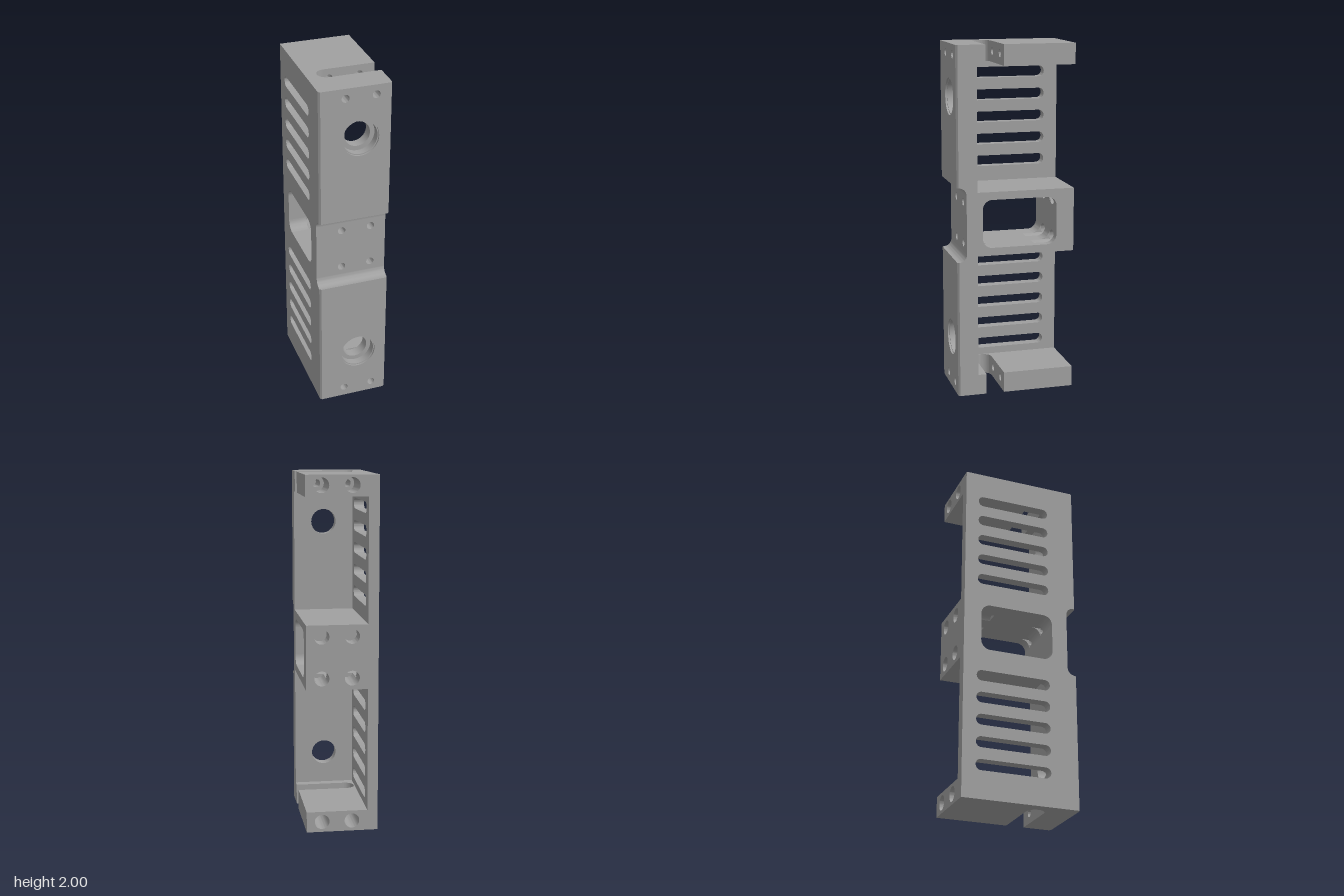
import * as THREE from 'three';
import { toCreasedNormals } from 'three/addons/utils/BufferGeometryUtils.js';

const metal = new THREE.MeshStandardMaterial({ color: 0xa0a0a0 });
metal.name = 'grey metal';

const W = 0.2025, D = 0.34;          // half width, half depth
const WALL = -0.143;                 // inner face of the side wall
const FRONT = 0.223, RECESS = 0.285; // inner face of front wall, floor of front recess
const SCREW_X = [-0.055, 0.115];
const SMALL = 0.022, BORE = 0.042, BORE_END = -0.12;
const MID = 1.0025;                  // height of the middle block's centre

const rectShape = (x0, x1, y0, y1) => new THREE.Shape([
  new THREE.Vector2(x0, y0), new THREE.Vector2(x1, y0),
  new THREE.Vector2(x1, y1), new THREE.Vector2(x0, y1)]);

const circle = (x, y, r) => new THREE.Path().absarc(x, y, r, 0, Math.PI * 2, true);

const extrude = (shape, depth) =>
  new THREE.ExtrudeGeometry(shape, { depth, bevelEnabled: false, curveSegments: 20 });

// Extrusions along each axis; shapes for x use (-z, y), shapes for y use (x, -z)
const alongZ = (shape, z0, z1) => extrude(shape, z1 - z0).translate(0, 0, z0);
const alongX = (shape, x0, x1) => extrude(shape, x1 - x0).rotateY(Math.PI / 2).translate(x0, 0, 0);
const alongY = (shape, y0, y1) => extrude(shape, y1 - y0).rotateX(-Math.PI / 2).translate(0, y0, 0);

// Full-width block with round holes [x, y, r] running along z
function drilled(y0, y1, z0, z1, holes) {
  const s = rectShape(-W, W, y0, y1);
  holes.forEach(h => s.holes.push(circle(...h)));
  return alongZ(s, z0, z1);
}

const screws = (ys, r) => ys.flatMap(y => SCREW_X.map(x => [x, y, r]));

// Concave corner filler running along x
function fillet(z, y, sz, sy, r, x0, x1) {
  const pts = [new THREE.Vector2(-z, y)];
  for (let i = 0; i <= 10; i++) {
    const t = i / 10 * Math.PI / 2;
    pts.push(new THREE.Vector2(-(z + sz * r * (1 - Math.sin(t))), y + sy * r * (1 - Math.cos(t))));
  }
  return alongX(new THREE.Shape(pts), x0, x1);
}

// Narrow the front edge of a plate at both sides
function chamferFront(geo) {
  const p = geo.attributes.position;
  for (let i = 0; i < p.count; i++) {
    if (p.getZ(i) > D - 0.001 && Math.abs(p.getX(i)) > W - 0.001) {
      p.setX(i, Math.sign(p.getX(i)) * (W - 0.01));
    }
  }
  return geo;
}

export function createModel() {
  const model = new THREE.Group();
  const body = new THREE.Group();
  body.name = 'bracket';
  body.rotation.y = -0.089;
  model.add(body);
  const add = (name, ...geos) => {
    const part = new THREE.Group();
    part.name = name;
    geos.forEach(g => {
      const mesh = new THREE.Mesh(toCreasedNormals(g, 0.5), metal);
      mesh.name = name + 'Piece';
      part.add(mesh);
    });
    body.add(part);
  };

  // Upper and lower ends: front plate, end shelf, slotted side wall
  const ends = [
    { n: 'lower', y0: 0, y1: 0.79, in0: 0, in1: 0.82, hole: 0.305, screw: 0.059, s0: 0, s1: 0.118, w0: 0.118, w1: 0.82, slot: 0.19 },
    { n: 'upper', y0: 1.215, y1: 2, in0: 1.185, in1: 2, hole: 1.705, screw: 1.944, s0: 1.882, s1: 2, w0: 1.185, w1: 1.882, slot: 1.302 },
  ];
  for (const e of ends) {
    const small = screws([e.screw], SMALL);
    add(e.n + 'FrontPlate',
      drilled(e.in0, e.in1, FRONT, RECESS, [...small, [0.03, e.hole, 0.072]]),
      drilled(e.y0, e.y1, RECESS, D - 0.01, [...small, [0.03, e.hole, 0.098]]),
      chamferFront(drilled(e.y0, e.y1, D - 0.01, D, [...small, [0.03, e.hole, 0.104]])));

    // Shelf: drilled back, round-ended slot opening to the left, front strip
    const slotEnd = new THREE.Shape();
    slotEnd.moveTo(-W, -0.175);
    slotEnd.lineTo(-0.087, -0.175);
    slotEnd.absarc(-0.087, -0.123, 0.052, -Math.PI / 2, -Math.PI * 1.5, true);
    slotEnd.lineTo(-W, -0.071);
    add(e.n + 'Shelf',
      drilled(e.s0, e.s1, -D, BORE_END, screws([e.screw], BORE)),
      drilled(e.s0, e.s1, BORE_END, 0.071, small),
      alongY(slotEnd, e.s0, e.s1),
      drilled(e.s0, e.s1, 0.175, FRONT, small));

    // Side wall with five ventilation slots
    const wall = rectShape(-FRONT, D, e.w0, e.w1);
    for (let i = 0; i < 5; i++) {
      const y = e.slot + i * 0.1285, r = 0.031;
      const slot = new THREE.Path();
      slot.absarc(-0.173 + r, y, r, Math.PI * 1.5, Math.PI / 2, true);
      slot.absarc(0.262 - r, y, r, Math.PI / 2, -Math.PI / 2, true);
      slot.closePath();
      wall.holes.push(slot);
    }
    add(e.n + 'SideWall', alongX(wall, -W, WALL));
  }

  // Middle block: front and back walls around a cross tunnel
  const midY = [MID - 0.1175, MID + 0.1175];
  const y0 = 0.82, y1 = 1.185, z0 = -0.238, z1 = 0.193, half = 0.1375;
  add('middleFrontWall', drilled(y0, y1, z1, RECESS, screws(midY, SMALL)));
  add('middleBackWall', drilled(y0, y1, -D, z0, screws(midY, BORE)));

  // Tunnel floor and roof, grooved where the bores cut into them
  for (const s of [-1, 1]) {
    const yIn = MID + s * half, yOut = s < 0 ? y0 : y1;
    const pts = [new THREE.Vector2(-W, yOut), new THREE.Vector2(W, yOut), new THREE.Vector2(W, yIn)];
    const a0 = Math.asin(0.02 / BORE);
    for (const x of [...SCREW_X].reverse()) {
      for (let i = 0; i <= 12; i++) {
        const a = a0 + (Math.PI - 2 * a0) * i / 12;
        pts.push(new THREE.Vector2(x + BORE * Math.cos(a), MID + s * (0.1175 + BORE * Math.sin(a))));
      }
    }
    pts.push(new THREE.Vector2(-W, yIn));
    add(s < 0 ? 'tunnelFloor' : 'tunnelRoof',
      alongZ(new THREE.Shape(pts), z0, BORE_END),
      drilled(Math.min(yIn, yOut), Math.max(yIn, yOut), BORE_END, z1, []));

    // Rounded tunnel corners, interrupted at the screw holes
    const corners = [];
    for (const [z, sz, r] of [[z0, 1, BORE], [z1, -1, SMALL]]) {
      const cuts = [-W, ...SCREW_X.flatMap(x => [x - r, x + r]), W];
      for (let i = 0; i < cuts.length; i += 2) {
        corners.push(fillet(z, yIn, sz, -s, 0.055, cuts[i], cuts[i + 1]));
      }
    }
    add('tunnelCorners', ...corners);

    // Curved edge of the front recess
    add('recessFillet', fillet(RECESS, s < 0 ? 0.79 : 1.215, 1, -s, 0.045, -W, W));
  }
  return model;
}
